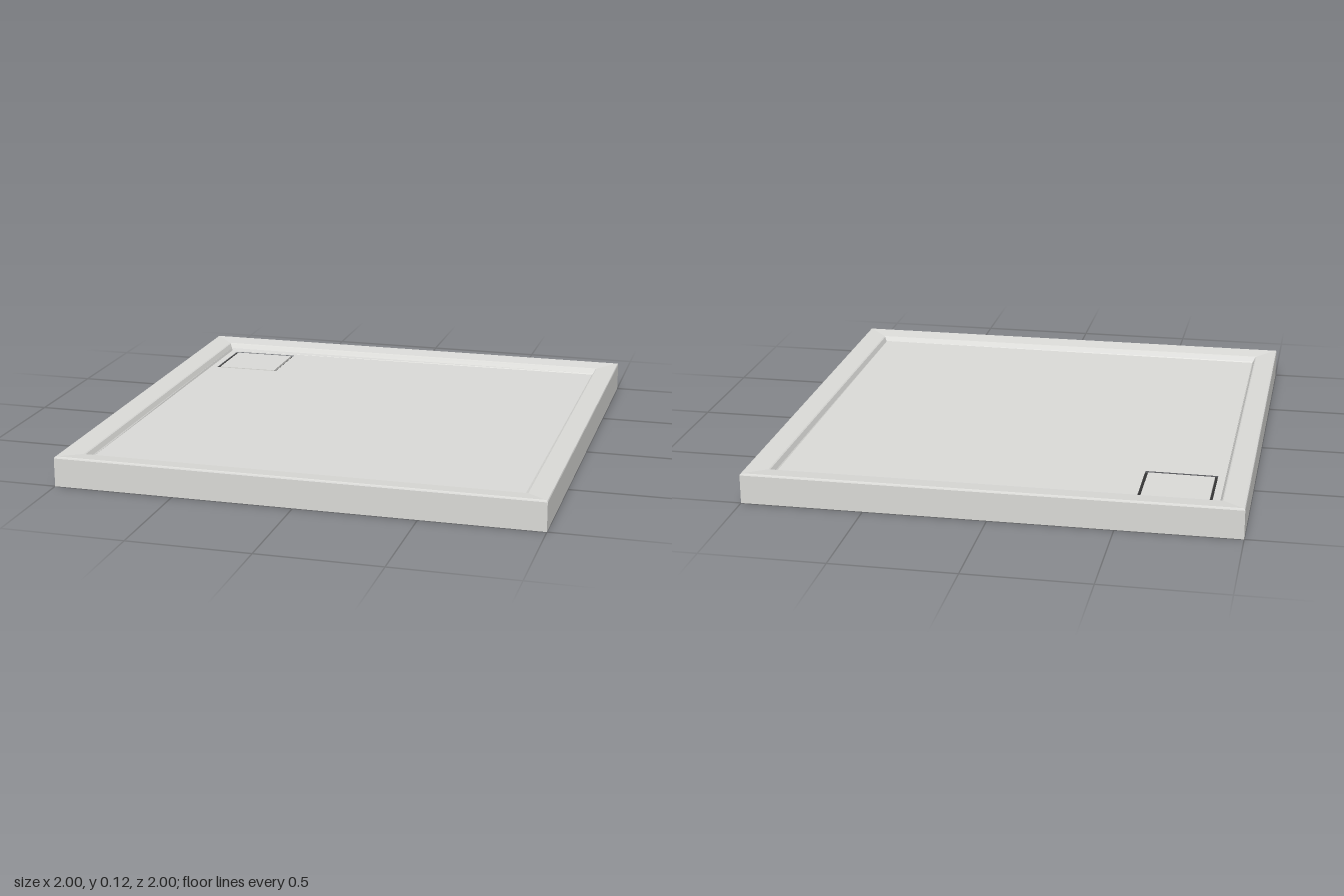
import * as THREE from 'three';

const DRAIN = { x: -0.715, z: -0.725, half: 0.147, gap: 0.012 };
const INNER = 0.892; // half width of the sunken floor

// the floor falls gently towards the drain corner
const floorY = (x, z) => 0.09 + 0.004 * (x + z);

const corners = (h) => [[h, h], [h, -h], [-h, -h], [-h, h]];

// square rings joined from the outer foot, over the rim, down to the floor
function loftSquares(rings) {
  const pos = [];
  for (let r = 0; r < rings.length - 1; r++) {
    const [lo, hi] = [rings[r], rings[r + 1]].map(([h, y]) =>
      corners(h).map(([x, z]) => [x, y ?? floorY(x, z), z]));
    for (let i = 0; i < 4; i++) {
      const j = (i + 1) % 4;
      pos.push(...lo[i], ...lo[j], ...hi[j], ...lo[i], ...hi[j], ...hi[i]);
    }
  }
  const geo = new THREE.BufferGeometry();
  geo.setAttribute('position', new THREE.Float32BufferAttribute(pos, 3));
  geo.computeVertexNormals();
  return geo;
}

function squarePath(path, cx, cy, h) {
  const pts = corners(h).map(([x, y]) => new THREE.Vector2(cx + x, cy + y));
  return path.setFromPoints(pts);
}

// lifts a flat geometry onto the sloping floor
function layOnFloor(geo) {
  const p = geo.attributes.position;
  for (let i = 0; i < p.count; i++) {
    p.setY(i, p.getY(i) + floorY(p.getX(i), p.getZ(i)));
  }
  geo.computeVertexNormals();
  return geo;
}

export function createModel() {
  const group = new THREE.Group();
  const white = new THREE.MeshStandardMaterial({ color: 0xd9d9d6 });
  white.name = 'tray white';
  const black = new THREE.MeshStandardMaterial({ color: 0x343434 });
  black.name = 'underside black';

  const add = (name, geo, mat, x = 0, y = 0, z = 0) => {
    const mesh = new THREE.Mesh(geo, mat);
    mesh.name = name;
    mesh.position.set(x, y, z);
    group.add(mesh);
    return mesh;
  };

  // outer walls, softened edge, inward sloping rim and the step to the floor
  add('rim', loftSquares([
    [1, 0], [1, 0.118], [0.998, 0.123], [0.992, 0.125],
    [0.91, 0.116], [0.905, 0.113], [INNER + 0.004, 0.094], [INNER, null],
  ]), white);

  // sunken floor with a square opening for the drain
  const shape = squarePath(new THREE.Shape(), 0, 0, INNER);
  shape.holes.push(squarePath(new THREE.Path(), DRAIN.x, -DRAIN.z, DRAIN.half));
  add('floor', layOnFloor(new THREE.ShapeGeometry(shape).rotateX(-Math.PI / 2)), white);

  // dark well seen through the gap around the cover
  const well = 2 * DRAIN.half + 0.01;
  add('drainWell', new THREE.BoxGeometry(well, 0.03, well), black, DRAIN.x, 0.06, DRAIN.z);

  // loose drain cover, level with the floor
  const side = 2 * (DRAIN.half - DRAIN.gap);
  const cover = new THREE.BoxGeometry(side, 0.012, side).translate(DRAIN.x, -0.006, DRAIN.z);
  add('drainCover', layOnFloor(cover), white);

  // underside and the outlet ring beneath the drain
  add('underside', new THREE.PlaneGeometry(2, 2).rotateX(Math.PI / 2), black, 0, 0.002, 0);
  add('outletRing', new THREE.RingGeometry(0.078, 0.105, 48).rotateX(Math.PI / 2),
    white, DRAIN.x, 0, DRAIN.z);

  return group;
}
